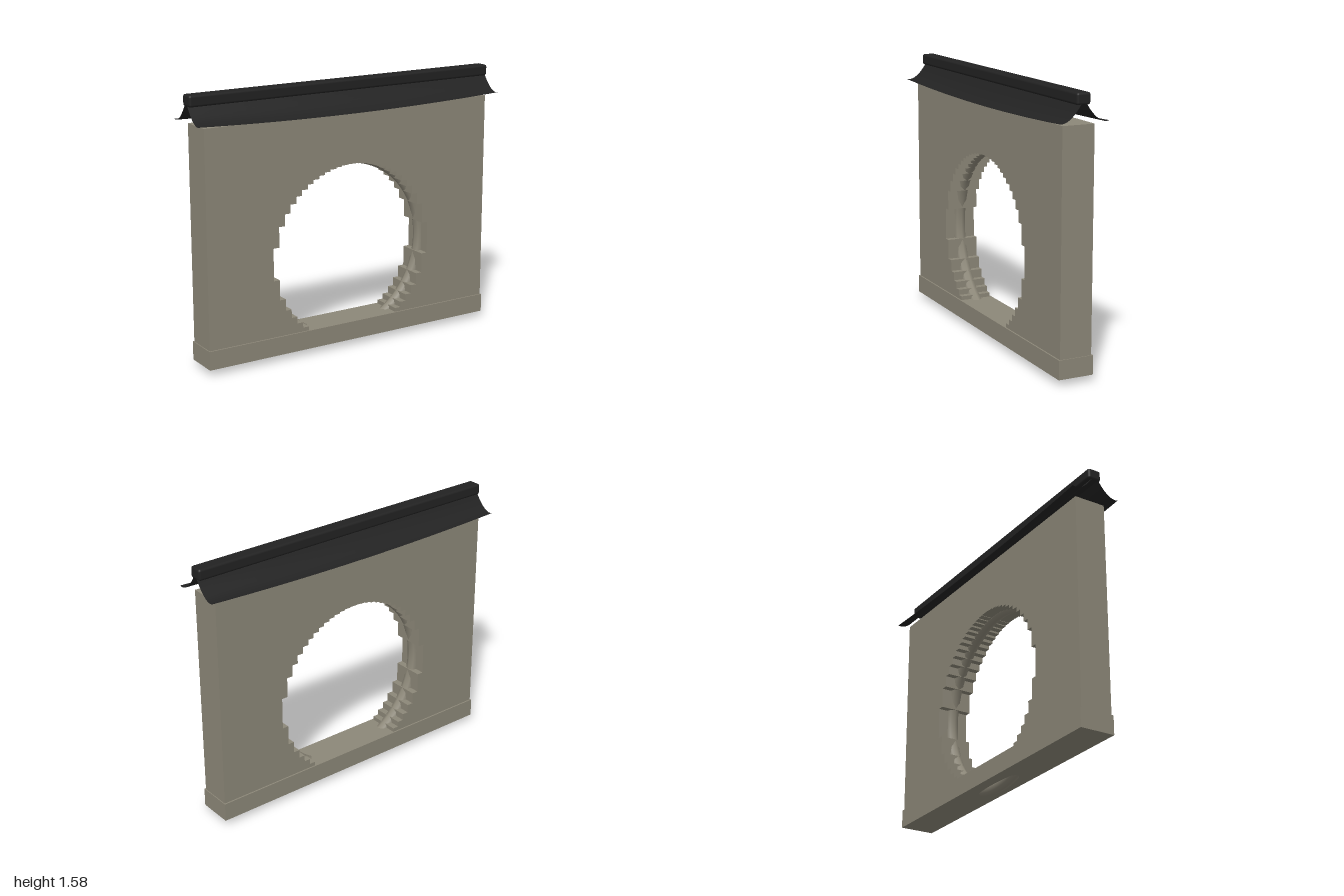
import * as THREE from 'three';
import { RoundedBoxGeometry } from 'three/addons/geometries/RoundedBoxGeometry.js';

const HOLE_Y = 0.58;

export function createModel() {
  const group = new THREE.Group();
  const stone = new THREE.MeshStandardMaterial({ color: 0x8c8778 });
  stone.name = 'stone';
  const tile = new THREE.MeshStandardMaterial({ color: 0x222222, side: THREE.DoubleSide });
  tile.name = 'dark roof tile';

  const add = (name, geometry, material, x = 0, y = 0, z = 0) => {
    const mesh = new THREE.Mesh(geometry, material);
    mesh.name = name;
    mesh.position.set(x, y, z);
    group.add(mesh);
  };

  // Wall with a round opening stepped in narrow columns
  const wall = new THREE.Shape();
  wall.moveTo(-0.945, 0.045);
  wall.lineTo(0.945, 0.045);
  wall.lineTo(0.945, 1.405);
  wall.lineTo(-0.945, 1.405);
  wall.closePath();
  const columns = 28, half = 0.53, step = (2 * half) / columns;
  const upper = [], lower = [];
  for (let i = 0; i < columns; i++) {
    const x0 = -half + i * step;
    const mid = x0 + step / 2;
    const h = Math.sqrt(0.52 ** 2 - mid ** 2);
    for (const x of [x0, x0 + step]) {
      upper.push(new THREE.Vector2(x, HOLE_Y + h));
      lower.push(new THREE.Vector2(x, HOLE_Y - h));
    }
  }
  wall.holes.push(new THREE.Path([...upper, ...lower.reverse()]));
  const wallGeometry = new THREE.ExtrudeGeometry(wall, { depth: 0.19, bevelEnabled: false });
  add('wall', wallGeometry, stone, 0, 0, -0.095);

  // Plinth crossing the bottom of the opening
  add('plinth', new THREE.BoxGeometry(1.9, 0.11, 0.208), stone, 0, 0.093, 0);

  // Ring lining the opening, just showing below the plinth
  add('openingRing', new THREE.TorusGeometry(0.541, 0.038, 8, 96), stone, 0, HOLE_Y, 0);

  // Ridge beam
  add('ridge', new RoundedBoxGeometry(2, 0.066, 0.082, 2, 0.014), tile, 0, 1.547, 0);

  // Sagging roof slopes whose eaves lift towards the ends
  for (const side of [1, -1]) {
    const slope = new THREE.PlaneGeometry(2, 1, 24, 10);
    const p = slope.attributes.position;
    for (let i = 0; i < p.count; i++) {
      const x = p.getX(i);
      const t = 0.5 - p.getY(i); // 0 at the ridge, 1 at the eave
      const y = 1.403 + 0.117 * (1 - t) ** 1.8 + 0.024 * x * x * t * t;
      p.setXYZ(i, side * x, y, side * (0.016 + 0.134 * t));
    }
    slope.computeVertexNormals();
    add(side > 0 ? 'frontRoofSlope' : 'backRoofSlope', slope, tile);
  }

  return group;
}
